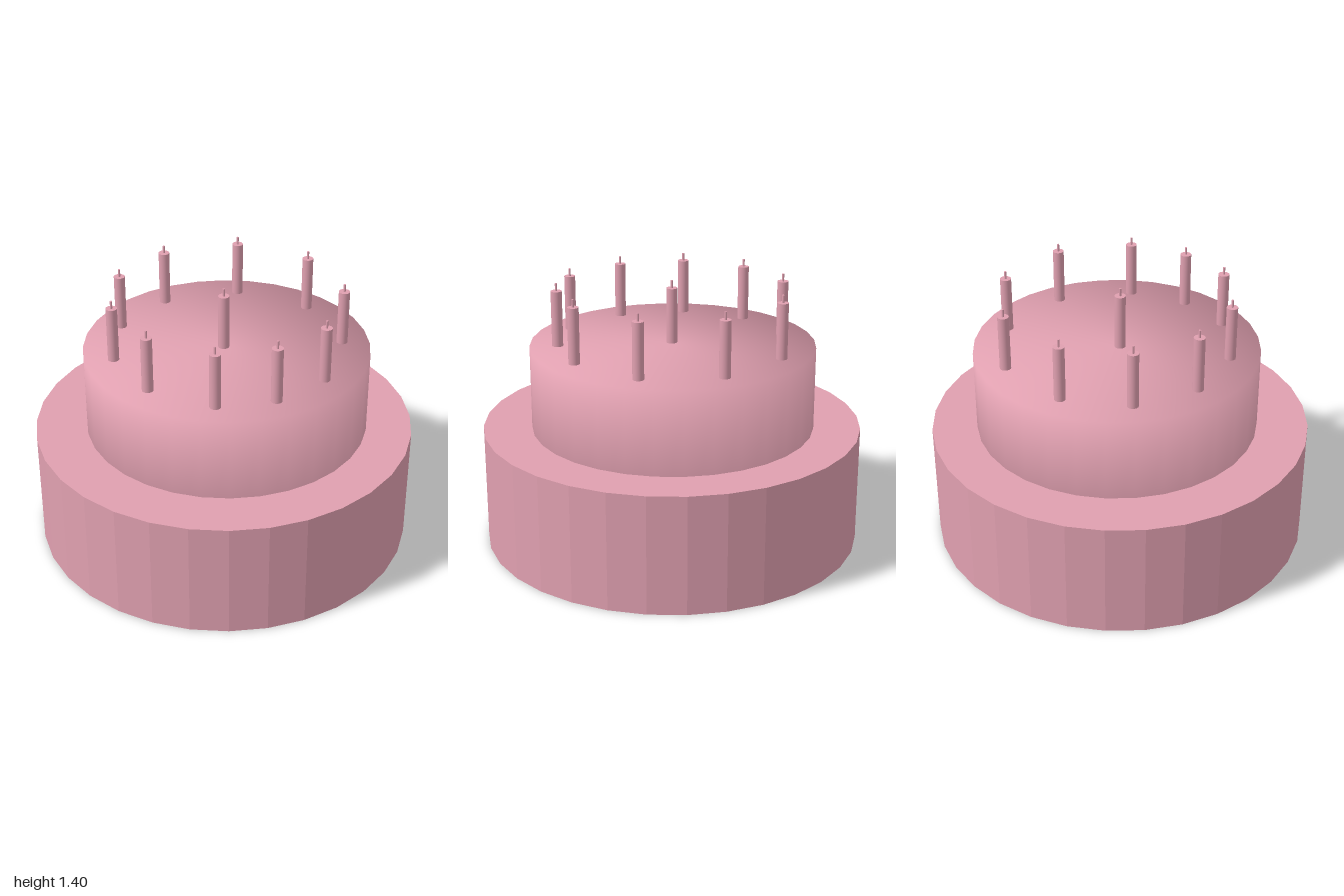
import * as THREE from 'three';
import { mergeVertices } from 'three/addons/utils/BufferGeometryUtils.js';

const COLOR = 0xe0a0b0;
const smooth = new THREE.MeshStandardMaterial({ color: COLOR });
const faceted = new THREE.MeshStandardMaterial({ color: COLOR, flatShading: true });

// Upright cylinder standing between two heights
function drum(name, radius, bottom, top, sides, material) {
  const geometry = new THREE.CylinderGeometry(radius, radius, top - bottom, sides);
  geometry.translate(0, (bottom + top) / 2, 0);
  const mesh = new THREE.Mesh(geometry, material);
  mesh.name = name;
  return mesh;
}

// Share normals between wall and caps, so shading rolls over the rim
function softenRims(mesh) {
  const geometry = mesh.geometry;
  geometry.deleteAttribute('uv');
  geometry.deleteAttribute('normal');
  mesh.geometry = mergeVertices(geometry);
  const p = mesh.geometry.attributes.position;
  const normals = [];
  mesh.geometry.computeBoundingBox();
  const { min, max } = mesh.geometry.boundingBox;
  const v = new THREE.Vector3();
  for (let i = 0; i < p.count; i++) {
    const up = p.getY(i) > (min.y + max.y) / 2 ? 1 : -1;
    v.set(p.getX(i) / max.x, up, p.getZ(i) / max.x).normalize();
    normals.push(v.x, v.y, v.z);
  }
  mesh.geometry.setAttribute('normal', new THREE.Float32BufferAttribute(normals, 3));
  return mesh;
}

// Candle with a thin wick
function candle(x, z) {
  const group = new THREE.Group();
  group.name = 'candle';
  group.add(
    drum('candleStick', 0.029, 1.04, 1.36, 32, smooth),
    drum('wick', 0.006, 1.35, 1.4, 16, smooth)
  );
  group.position.set(x, 0, z);
  return group;
}

export function createModel() {
  const cake = new THREE.Group();
  cake.name = 'cake';

  // Tiers, the upper one slightly off centre
  cake.add(drum('lowerTier', 1, 0, 0.625, 32, faceted));
  const upperTier = softenRims(drum('upperTier', 0.747, 0.02, 1.067, 32, smooth));
  upperTier.position.set(0.013, 0, -0.013);
  cake.add(upperTier);

  // One candle in the middle and a loose ring of ten
  const spots = [
    [0, 0], [-0.03, -0.62], [0.37, -0.505], [0.6, -0.153], [0.553, 0.248], [0.345, 0.487],
    [0.06, 0.592], [-0.295, 0.495], [-0.532, 0.228], [-0.575, -0.125], [-0.404, -0.443]
  ];
  for (const [x, z] of spots) cake.add(candle(x, z));

  return cake;
}
